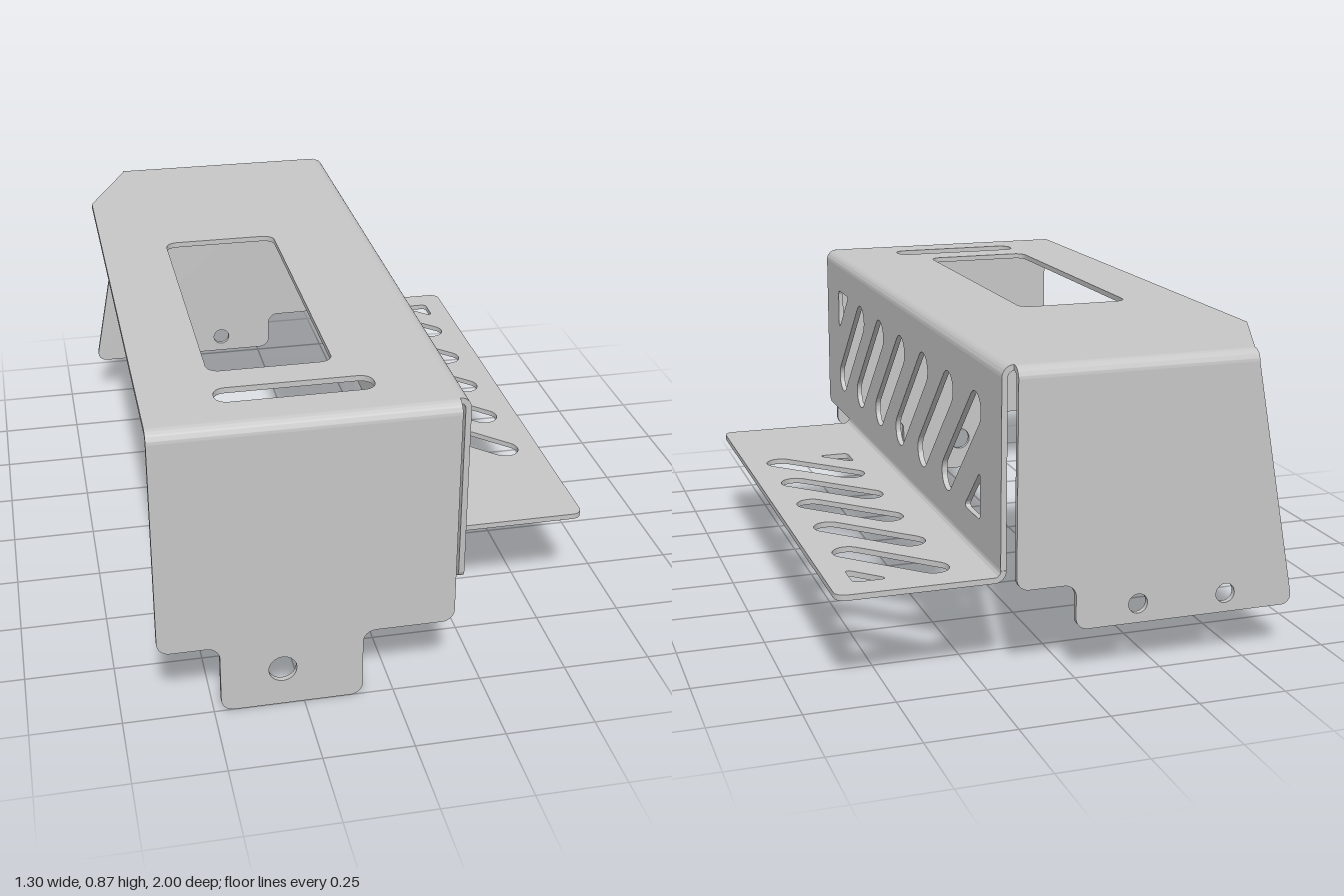
import * as THREE from 'three';
import { toCreasedNormals } from 'three/addons/utils/BufferGeometryUtils.js';

const T = 0.016;          // sheet thickness
const R = 0.033;          // outer bend radius
const H = 0.873;          // overall height
const BEND_Y = H - R;
const END = 1 - R;        // where the top sheet meets the end bends
const SIDE_X = 0.202;     // outer face of the side panel
const TOP_X = SIDE_X - R;
const LEFT_X = -0.648;
const FLANGE_Y = 0.284;   // underside of the flange

// Closed outline through corners [x, y, radius], each rounded
function rounded(points, path = new THREE.Path()) {
  const n = points.length;
  points.forEach(([x, y, r = 0], i) => {
    const p = new THREE.Vector2(x, y);
    const a = new THREE.Vector2(...points[(i + n - 1) % n].slice(0, 2)).sub(p).normalize();
    const b = new THREE.Vector2(...points[(i + 1) % n].slice(0, 2)).sub(p).normalize();
    const at = (dir, d) => p.clone().addScaledVector(dir, d);
    const s = at(a, r), e = at(b, r), c1 = at(a, r * 0.448), c2 = at(b, r * 0.448);
    if (i === 0) path.moveTo(s.x, s.y);
    else path.lineTo(s.x, s.y);
    if (r > 0) path.bezierCurveTo(c1.x, c1.y, c2.x, c2.y, e.x, e.y);
  });
  path.closePath();
  return path;
}

const rect = (x0, y0, x1, y1, r) => rounded([[x0, y0, r], [x1, y0, r], [x1, y1, r], [x0, y1, r]]);

// Right-angled hole with its square corner at x, y and legs dx, dy
const triangle = (x, y, dx, dy) => rounded([[x, y, 0.016], [x + dx, y, 0.025], [x, y + dy, 0.025]]);

function circle(x, y, r) {
  return new THREE.Path().absarc(x, y, r, 0, Math.PI * 2);
}

// Round-ended slot between two centres
function slot(x1, y1, x2, y2, r) {
  const a = Math.atan2(y2 - y1, x2 - x1), q = Math.PI / 2;
  const path = new THREE.Path();
  path.absarc(x1, y1, r, a + q, a + 3 * q);
  path.absarc(x2, y2, r, a - q, a + q);
  path.closePath();
  return path;
}

export function createModel() {
  const group = new THREE.Group();
  const steel = new THREE.MeshStandardMaterial({ color: 0xc6c6c6 });
  steel.name = 'light grey steel';

  function extrude(name, shape, depth) {
    const geo = new THREE.ExtrudeGeometry(shape, { depth, bevelEnabled: false, curveSegments: 10 });
    const mesh = new THREE.Mesh(toCreasedNormals(geo, 0.6), steel);
    mesh.name = name;
    group.add(mesh);
    return mesh;
  }

  function plate(name, points, holes) {
    const shape = rounded(points, new THREE.Shape());
    shape.holes.push(...holes);
    return extrude(name, shape, T);
  }

  // Quarter-round sheet bend
  function bend(name, cx, cy, start, depth) {
    const shape = new THREE.Shape();
    shape.absarc(cx, cy, R, start, start + Math.PI / 2, false);
    shape.absarc(cx, cy, R - T, start + Math.PI / 2, start, true);
    shape.closePath();
    return extrude(name, shape, depth);
  }

  // Top sheet with a large window and a slot (outline y is -z)
  const top = plate('topPlate', [
    [LEFT_X, -END], [TOP_X, -END], [TOP_X, END], [-0.513, END], [LEFT_X, 0.66],
  ], [rect(-0.448, -0.683, -0.105, 0.256, 0.035), rect(-0.452, -0.867, -0.025, -0.785, 0.035)]);
  top.rotation.x = -Math.PI / 2;
  top.position.y = H - T;

  // Front sheet with a mounting tab
  const front = plate('frontPlate', [
    [LEFT_X, BEND_Y], [LEFT_X, 0.207, 0.035], [-0.48, 0.207, 0.035], [-0.48, 0, 0.035],
    [-0.086, 0, 0.035], [-0.086, 0.207, 0.035], [TOP_X, 0.207, 0.035], [TOP_X, BEND_Y],
  ], [circle(-0.309, 0.115, 0.039)]);
  front.position.z = 1 - T;

  // Back sheet with a slanted edge and a stepped foot
  const back = plate('backPlate', [
    [-0.513, BEND_Y], [-0.648, 0.138, 0.035], [0, 0.138, 0.035], [0, 0.268, 0.035],
    [TOP_X, 0.268, 0.035], [TOP_X, BEND_Y],
  ], [circle(-0.18, 0.193, 0.028), circle(-0.44, 0.193, 0.028)]);
  back.position.z = -1;

  // Side sheet with slanted slots (outline x is -z)
  const sideHoles = [triangle(-0.797, 0.755, 0.14, -0.14), triangle(0.793, 0.403, -0.14, 0.14)];
  for (let i = 0; i < 6; i++) {
    const s = i * 0.248;
    sideHoles.push(slot(-0.747 + s, 0.449, -0.493 + s, 0.705, 0.049));
  }
  const side = plate('sidePlate', [
    [-0.965, BEND_Y], [-0.965, 0.315, 0.03], [-0.677, 0.315], [-0.677, FLANGE_Y + R],
    [0.965, FLANGE_Y + R], [0.965, BEND_Y],
  ], sideHoles);
  side.rotation.y = Math.PI / 2;
  side.position.x = SIDE_X - T;

  // Bottom flange with slanted slots (outline y is -z)
  const flangeX = SIDE_X - T + R;
  const flangeHoles = [triangle(0.582, 0.882, -0.1, -0.1), triangle(0.304, -0.297, 0.1, 0.1)];
  for (let i = 0; i < 5; i++) {
    const s = i * 0.2265;
    flangeHoles.push(slot(0.349, 0.838 - s, 0.537, 0.65 - s, 0.044));
  }
  const flange = plate('bottomFlange', [
    [flangeX, -0.677], [0.648, -0.677, 0.03], [0.648, 0.967, 0.03], [flangeX, 0.967],
  ], flangeHoles);
  flange.rotation.x = -Math.PI / 2;
  flange.position.y = FLANGE_Y;

  // Bends joining the sheets
  bend('sideBend', TOP_X, BEND_Y, 0, 1.93).position.z = -0.965;
  bend('flangeBend', flangeX, FLANGE_Y + R, Math.PI, 1.644).position.z = -0.967;
  const ends = [
    bend('frontBend', END, BEND_Y, 0, TOP_X - LEFT_X),
    bend('backBend', -END, BEND_Y, Math.PI / 2, TOP_X + 0.513),
  ];
  for (const end of ends) {
    end.rotation.y = -Math.PI / 2;
    end.position.x = TOP_X;
  }
  return group;
}
